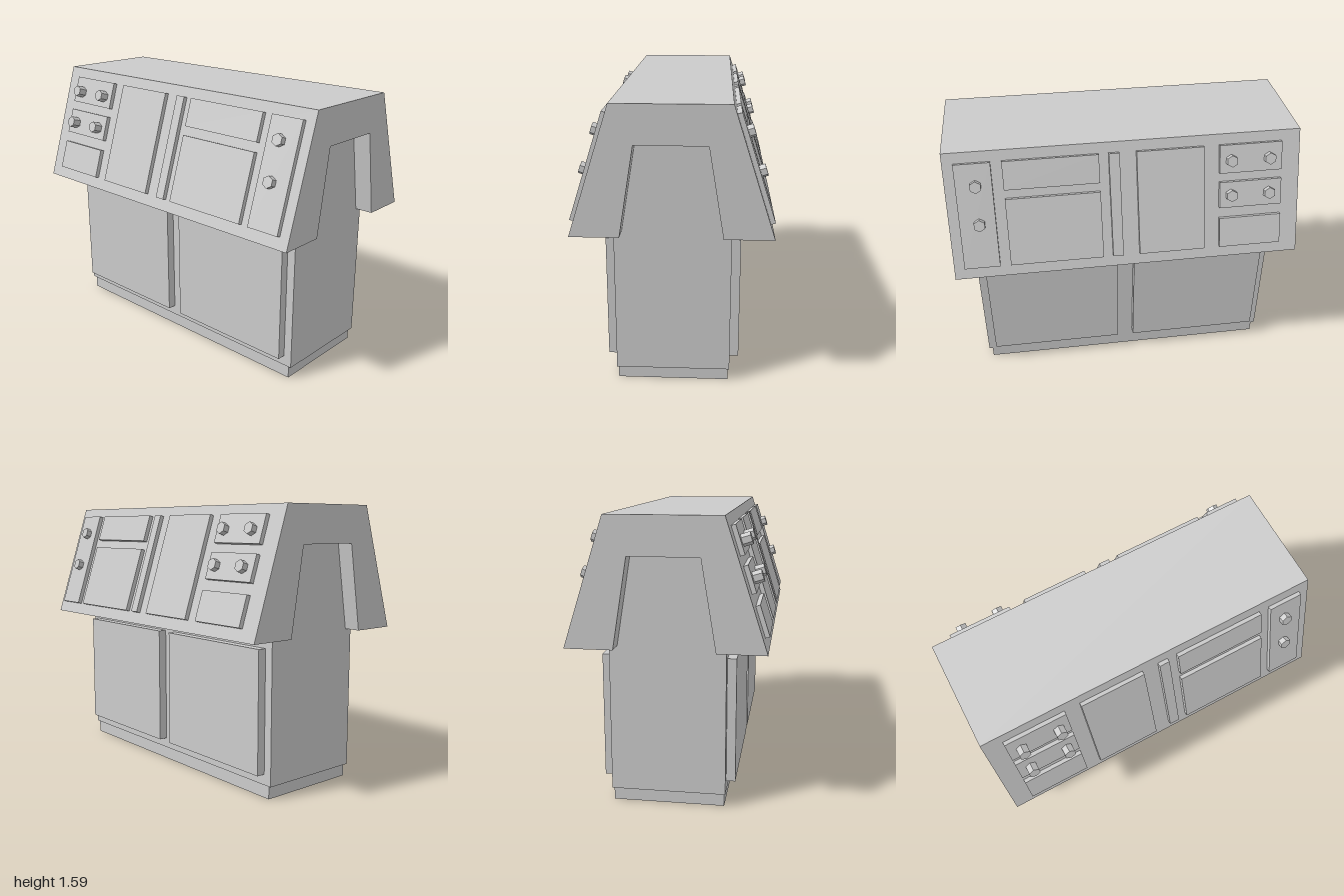
import * as THREE from 'three';

const material = new THREE.MeshStandardMaterial({ color: 0xcccccc, flatShading: true });

// Hood slope: from the eave (lower edge) up to the ridge edge
const EAVE = { y: 0.89, z: 0.535 };
const RIDGE = { y: 1.59, z: 0.31 };
const TILT = Math.atan2(EAVE.z - RIDGE.z, RIDGE.y - EAVE.y);
const PANEL_T = 0.025;

// Raised panels: x min, x max, y min, y max
const PANELS = [
  [-0.89, -0.53, 1.385, 1.54],
  [-0.89, -0.53, 1.19, 1.335],
  [-0.89, -0.53, 0.963, 1.13],
  [-0.44, -0.06, 0.963, 1.54],
  [0.035, 0.095, 0.963, 1.54],
  [0.15, 0.68, 1.385, 1.54],
  [0.15, 0.68, 0.963, 1.335],
  [0.74, 0.94, 0.963, 1.54],
];

// Knobs: x, y, and whether they belong to the paired group
const KNOBS = [
  [-0.815, 1.466, true], [-0.595, 1.466, true],
  [-0.815, 1.273, true], [-0.595, 1.273, true],
  [0.83, 1.43, false], [0.83, 1.22, false],
];

function add(parent, name, geometry, x, y, z) {
  const mesh = new THREE.Mesh(geometry, material);
  mesh.name = name;
  mesh.position.set(x, y, z);
  parent.add(mesh);
  return mesh;
}

// Box given by its limits
function addBox(parent, name, x0, x1, y0, y1, z0, z1) {
  return add(parent, name, new THREE.BoxGeometry(x1 - x0, y1 - y0, z1 - z0),
    (x0 + x1) / 2, (y0 + y1) / 2, (z0 + z1) / 2);
}

// Distance along the slope for a point at height y, lifted by n off the slope
const along = (y, n) => (y - EAVE.y - n * Math.sin(TILT)) / Math.cos(TILT);

// One long side: doors below, tilted control face above; dir is 1 (front) or -1 (back)
function createSide(dir) {
  const side = new THREE.Group();
  side.name = dir > 0 ? 'frontSide' : 'backSide';
  if (dir < 0) side.rotation.y = Math.PI;

  for (const x of [-0.455, 0.445]) {
    add(side, 'door', new THREE.BoxGeometry(0.8, 0.695, 0.06), dir * x, 0.4825, 0.335);
  }

  const face = new THREE.Group();
  face.name = 'controlFace';
  face.position.set(0, EAVE.y, EAVE.z);
  face.rotation.x = -TILT;
  side.add(face);

  for (const [x0, x1, y0, y1] of PANELS) {
    const s0 = along(y0, PANEL_T), s1 = along(y1, PANEL_T);
    const geometry = new THREE.BoxGeometry(x1 - x0, s1 - s0, PANEL_T + 0.01);
    add(face, 'panel', geometry, dir * (x0 + x1) / 2, (s0 + s1) / 2, (PANEL_T - 0.01) / 2);
  }

  for (const [x, y, paired] of KNOBS) {
    const length = paired && dir > 0 ? 0.052 : 0.033;
    const geometry = new THREE.CylinderGeometry(0.034, 0.034, length, 6);
    geometry.rotateX(Math.PI / 2);
    add(face, 'knob', geometry, dir * x, along(y, PANEL_T + length), PANEL_T + length / 2);
  }
  return side;
}

// Hood: sloped cross-section with a tapered slot underneath, extruded along x
function createHood() {
  const half = [[0.535, 0.89], [0.31, 1.59]];
  const slot = [[0.19, 1.38], [0.27, 0.89]];
  const outline = [
    ...half,
    ...half.map(([z, y]) => [-z, y]).reverse(),
    ...slot.map(([z, y]) => [-z, y]).reverse(),
    ...slot,
  ];
  const shape = new THREE.Shape(outline.map(([z, y]) => new THREE.Vector2(z, y)));
  const geometry = new THREE.ExtrudeGeometry(shape, { depth: 2, bevelEnabled: false });
  geometry.translate(0, 0, -1);
  geometry.rotateY(Math.PI / 2);
  return geometry;
}

export function createModel() {
  const model = new THREE.Group();
  model.name = 'controlConsole';

  addBox(model, 'plinth', -0.885, 0.875, 0, 0.08, -0.308, 0.308);
  addBox(model, 'cabinet', -0.905, 0.895, 0.075, 1.4, -0.315, 0.315);
  add(model, 'hood', createHood(), 0, 0, 0);
  model.add(createSide(1), createSide(-1));
  return model;
}
